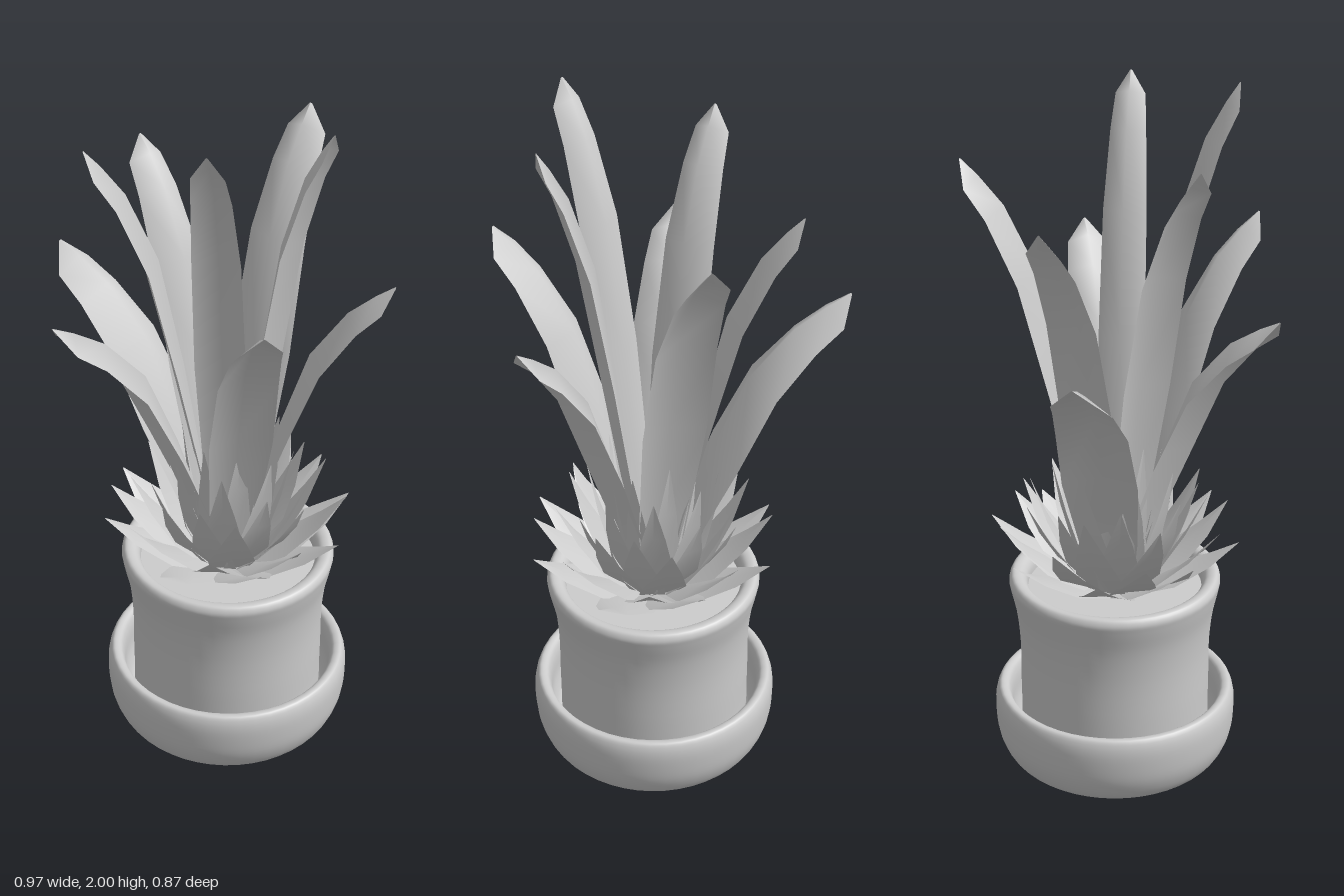
import * as THREE from 'three';

const rad = THREE.MathUtils.degToRad;

// Arching leaf: rows are [reach fraction, height fraction, width fraction]
const LONG = [[0, 0, 0.5], [0.1, 0.22, 0.75], [0.27, 0.5, 0.95], [0.46, 0.75, 0.88], [0.7, 0.9, 0.72], [0.88, 0.965, 0.6], [1, 1, 0.04]];
const SHORT = [[0, 0, 0.8], [0.4, 0.31, 1], [0.72, 0.65, 0.6], [1, 1, 0.02]];

function leafGeometry(rows, angle, r0, r1, y0, y1, halfWidth, droop) {
  const dir = new THREE.Vector3(Math.cos(angle), 0, Math.sin(angle));
  const side = new THREE.Vector3(-dir.z, 0, dir.x);
  const at = ([f, h]) => new THREE.Vector2(r0 + (r1 - r0) * f, y0 + (y1 - y0) * h);
  const pos = [], index = [];
  rows.forEach((row, i) => {
    const p = at(row);
    const t = at(rows[Math.min(i + 1, rows.length - 1)]).sub(at(rows[Math.max(i - 1, 0)])).normalize();
    const w = halfWidth * row[2];
    // midrib with both edges folded outward and down, flatter near the base
    for (const s of [-1, 0, 1]) {
      const fold = Math.abs(s) * droop * w * Math.min(1, 0.1 + row[1]);
      const v = dir.clone().multiplyScalar(p.x + t.y * fold).addScaledVector(side, s * w);
      pos.push(v.x, p.y - t.x * fold, v.z);
    }
    if (i === 0) return;
    for (let k = 0; k < 2; k++) {
      const a = (i - 1) * 3 + k, b = a + 3;
      index.push(a, b, a + 1, a + 1, b, b + 1);
    }
  });
  const g = new THREE.BufferGeometry();
  g.setAttribute('position', new THREE.Float32BufferAttribute(pos, 3));
  g.setIndex(index);
  g.computeVertexNormals();
  return g;
}

// Smooth turned shape from a few profile points
function turned(points) {
  const curve = new THREE.CatmullRomCurve3(points.map(([x, y]) => new THREE.Vector3(x, y, 0)), false, 'centripetal');
  const profile = curve.getPoints(points.length * 4).map(p => new THREE.Vector2(Math.max(p.x, 0), Math.max(p.y, 0)));
  return new THREE.LatheGeometry(profile, 48);
}

export function createModel() {
  const model = new THREE.Group();
  model.name = 'pottedPlant';
  const plant = new THREE.Group();
  plant.name = 'plantAndPot';
  plant.position.set(0.075, 0, -0.03);
  model.add(plant);

  const mat = new THREE.MeshStandardMaterial({ color: 0xcccccc });
  const leafMat = new THREE.MeshStandardMaterial({ color: 0xcccccc, side: THREE.DoubleSide });
  const add = (name, geometry, material, parent = plant) => {
    const mesh = new THREE.Mesh(geometry, material);
    mesh.name = name;
    parent.add(mesh);
    return mesh;
  };

  // Saucer with a rounded rim
  add('saucer', turned([[0, 0], [0.15, 0], [0.25, 0.004], [0.305, 0.03], [0.335, 0.085], [0.345, 0.15],
    [0.343, 0.21], [0.33, 0.236], [0.31, 0.232], [0.299, 0.205], [0.292, 0.13], [0.26, 0.07], [0, 0.06]]), mat);

  // Pot flaring to a rolled rim
  add('pot', turned([[0, 0.05], [0.22, 0.05], [0.262, 0.08], [0.27, 0.2], [0.271, 0.38], [0.28, 0.48],
    [0.296, 0.555], [0.299, 0.58], [0.288, 0.597], [0.265, 0.594], [0.25, 0.575], [0.246, 0.54], [0.244, 0.5]]), mat);

  // Soil surface
  const soil = add('soil', new THREE.CircleGeometry(0.25, 48), mat);
  soil.rotation.x = -Math.PI / 2;
  soil.position.y = 0.55;

  // Long leaves: angle, reach, tip height, half width
  const longLeaves = new THREE.Group();
  longLeaves.name = 'longLeaves';
  plant.add(longLeaves);
  [[270, 0.41, 1.8, 0.095], [183, 0.56, 1.4, 0.11], [201, 0.39, 1.73, 0.085],
    [-19, 0.435, 1.5, 0.09], [1, 0.295, 1.97, 0.068], [69, 0.337, 2.0, 0.072],
    [49, 0.475, 1.58, 0.09], [118, 0.52, 1.48, 0.1], [137.5, 0.375, 1.88, 0.08],
  ].forEach(([a, reach, top, w]) =>
    add('longLeaf', leafGeometry(LONG, rad(a), 0.03, reach, 0.55, top, w, 0.65), leafMat, longLeaves));

  // Rings of short spiky leaves: start angle, base radius, reach, tip height, half width
  const shortLeaves = new THREE.Group();
  shortLeaves.name = 'shortLeaves';
  plant.add(shortLeaves);
  [[0, 0.06, 0.35, 0.73, 0.08], [22.5, 0.06, 0.33, 0.78, 0.075], [10, 0.06, 0.27, 0.86, 0.065],
    [33, 0.06, 0.235, 0.88, 0.06], [20, 0.055, 0.18, 0.95, 0.055], [0, 0.05, 0.13, 1.01, 0.045],
  ].forEach(([start, base, reach, top, w]) => {
    for (let k = 0; k < 8; k++) {
      const vary = 0.02 * Math.sin(k * 2.4 + start);
      add('shortLeaf', leafGeometry(SHORT, rad(start + k * 45), base, reach, 0.555, top + vary, w, 0.2), leafMat, shortLeaves);
    }
  });

  return model;
}
